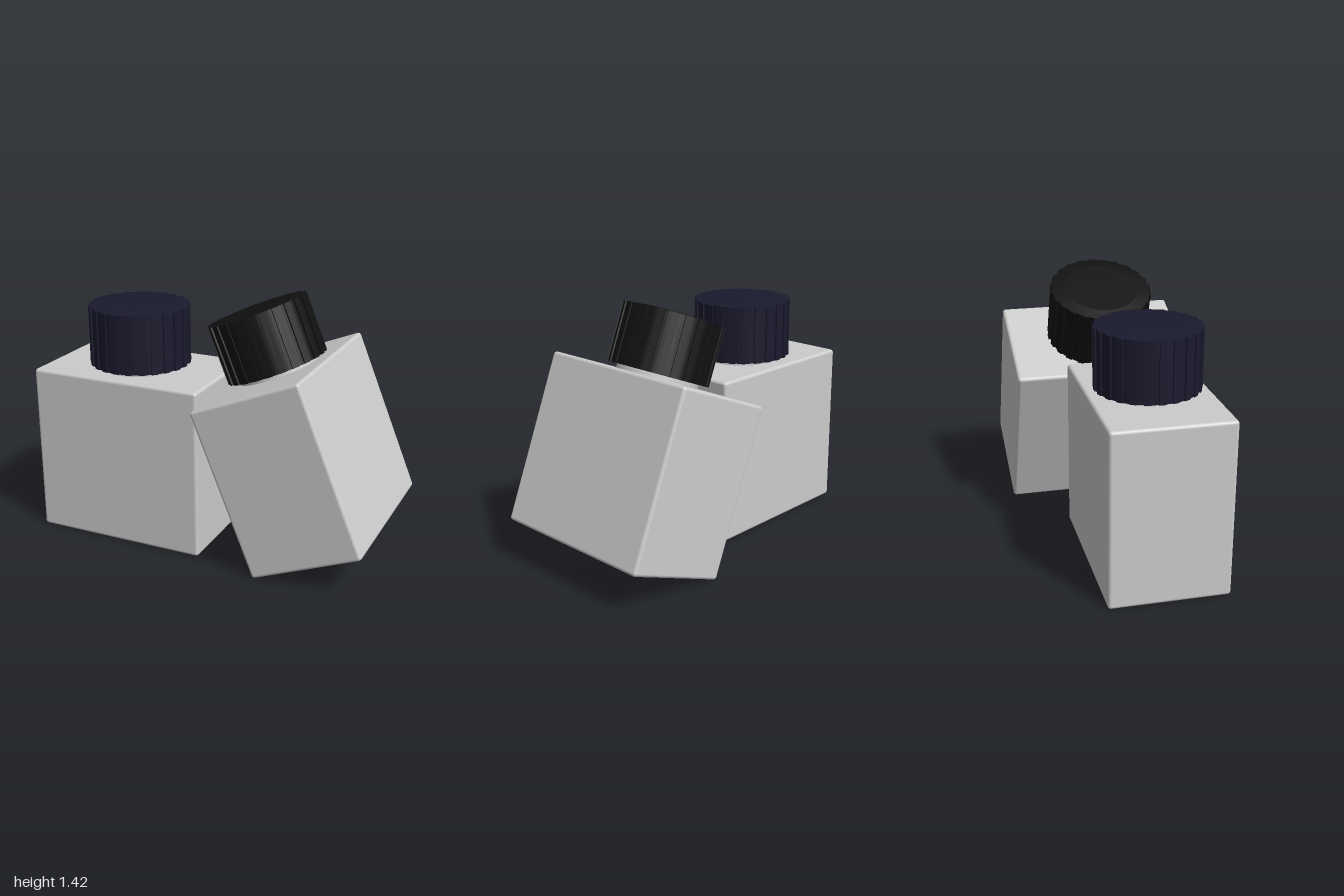
import * as THREE from 'three';
import { RoundedBoxGeometry } from 'three/addons/geometries/RoundedBoxGeometry.js';

const WIDTH = 0.99, HEIGHT = 0.945, DEPTH = 0.635;
const CAP_BOTTOM = 0.968, CAP_TOP = 1.3, CAP_RADIUS = 0.278, RIBS = 24;

function addMesh(parent, name, geometry, material, y = 0) {
  const mesh = new THREE.Mesh(geometry, material);
  mesh.name = name;
  mesh.position.y = y;
  parent.add(mesh);
  return mesh;
}

// Ribbed screw cap with a very shallow crown
function createCap(color) {
  const cap = new THREE.Group();
  cap.name = 'cap';
  const material = new THREE.MeshStandardMaterial({ color, flatShading: true });
  const inner = CAP_RADIUS - 0.008;
  const rim = CAP_TOP - 0.008;
  const profile = [
    [0, CAP_BOTTOM], [inner, CAP_BOTTOM], [inner, rim], [inner * 0.75, CAP_TOP], [0, CAP_TOP],
  ].map(([r, y]) => new THREE.Vector2(r, y));
  addMesh(cap, 'capBody', new THREE.LatheGeometry(profile, RIBS * 2), material);

  // Grip ribs around the side
  const height = rim - CAP_BOTTOM;
  const ribGeometry = new THREE.BoxGeometry(0.036, height, 0.03);
  for (let i = 0; i < RIBS; i++) {
    const angle = (i / RIBS) * Math.PI * 2;
    const rib = addMesh(cap, 'capRib', ribGeometry, material, CAP_BOTTOM + height / 2);
    rib.position.x = Math.sin(angle) * (CAP_RADIUS - 0.015);
    rib.position.z = Math.cos(angle) * (CAP_RADIUS - 0.015);
    rib.rotation.y = angle;
  }
  return cap;
}

// Square bottle standing on its own origin
function createBottle(name, width, depth, capColor) {
  const bottle = new THREE.Group();
  bottle.name = name;
  const grey = new THREE.MeshStandardMaterial({ color: 0xcccccc });
  addMesh(bottle, 'body', new RoundedBoxGeometry(width, HEIGHT, depth, 3, 0.018), grey, HEIGHT / 2);
  addMesh(bottle, 'neck', new THREE.CylinderGeometry(0.225, 0.225, 0.08, 32), grey, HEIGHT + 0.02);
  bottle.add(createCap(capColor));
  return bottle;
}

export function createModel() {
  const model = new THREE.Group();
  model.name = 'bottlePair';
  const turn = THREE.MathUtils.degToRad(8);

  const upright = createBottle('uprightBottle', WIDTH, DEPTH, 0x1a1a2e);
  upright.position.set(-0.469, 0, 0.195);
  upright.rotation.y = turn;

  // Second bottle, turned side-on and leaning against the first
  const leaning = createBottle('leaningBottle', DEPTH, WIDTH, 0x111111);
  leaning.position.set(0.654, 0.116, -0.055);
  leaning.rotation.set(0, turn, THREE.MathUtils.degToRad(22.3), 'YXZ');

  model.add(upright, leaning);
  return model;
}
